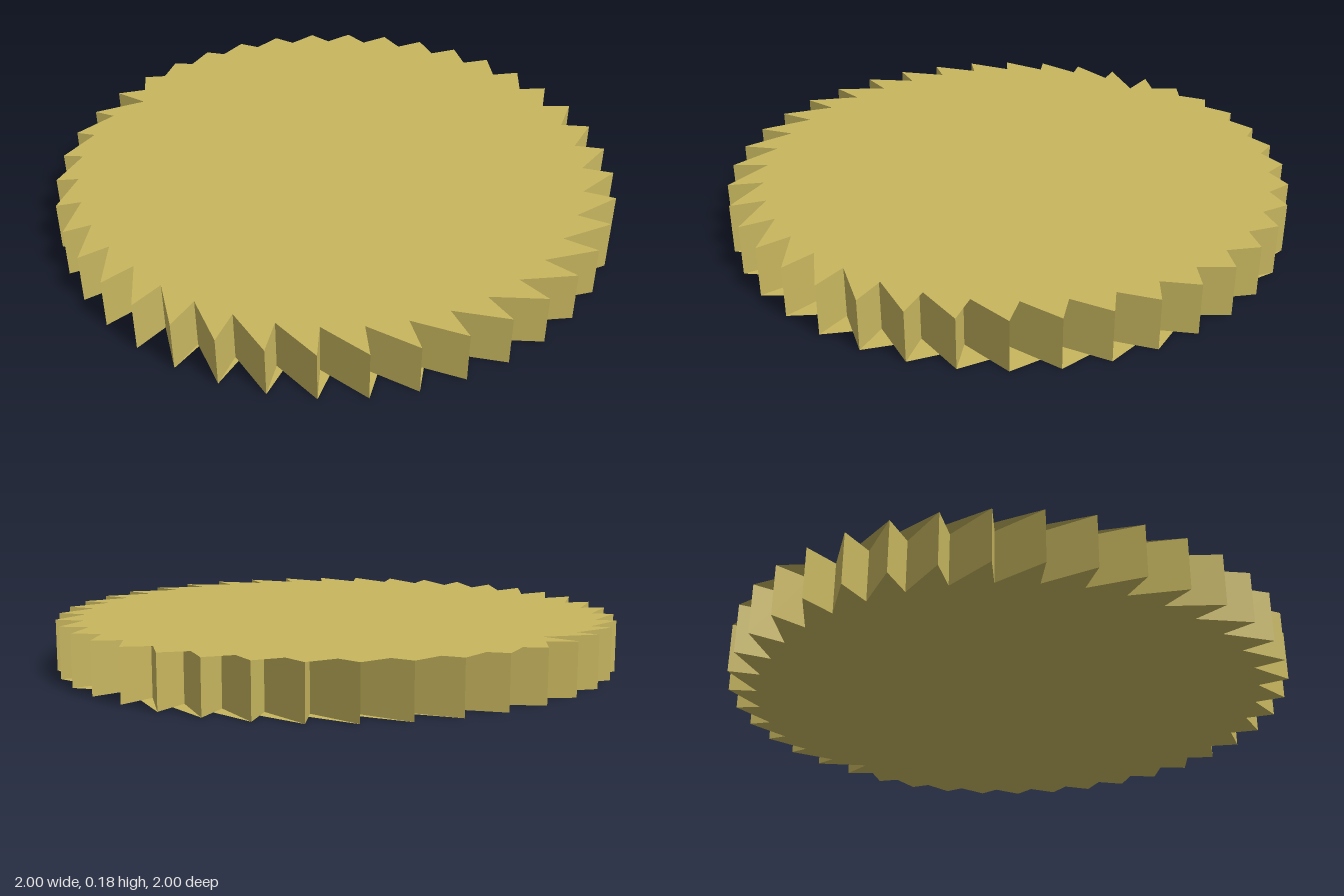
import * as THREE from 'three';

const TEETH = 40, TIP = 1.003, ROOT = 0.877, HEIGHT = 0.18;

function mesh(name, positions, material) {
  const geometry = new THREE.BufferGeometry();
  geometry.setAttribute('position', new THREE.Float32BufferAttribute(positions, 3));
  geometry.computeVertexNormals();
  const m = new THREE.Mesh(geometry, material);
  m.name = name;
  return m;
}

// Ratchet outline, anticlockwise from above: each tip drops radially to a root
function ratchetOutline() {
  const ring = [];
  for (let i = 0; i < TEETH; i++) {
    const a = (0.5 - i) * 2 * Math.PI / TEETH;
    for (const r of [TIP, ROOT]) ring.push([r * Math.sin(a), -r * Math.cos(a)]);
  }
  return ring;
}

// Flat face fanned from one root of the rim; webs partly fill the tooth gaps
function fanFace(ring, start, y, up) {
  const out = [], n = ring.length, a = ring[start];
  for (let i = 1; i < n - 1; i++) {
    let b = ring[(start + i) % n], c = ring[(start + i + 1) % n];
    const area = (b[1] - a[1]) * (c[0] - a[0]) - (b[0] - a[0]) * (c[1] - a[1]);
    if (Math.abs(area) < 1e-9) continue;
    if ((area > 0) !== up) [b, c] = [c, b];
    for (const p of [a, b, c]) out.push(p[0], y, p[1]);
  }
  return out;
}

// Upright walls around the teeth
function toothWalls(ring) {
  const out = [];
  ring.forEach((a, i) => {
    const b = ring[(i + 1) % ring.length];
    for (const [p, y] of [[a, 0], [b, 0], [b, HEIGHT], [a, 0], [b, HEIGHT], [a, HEIGHT]]) {
      out.push(p[0], y, p[1]);
    }
  });
  return out;
}

export function createModel() {
  const brass = new THREE.MeshStandardMaterial({ color: 0xc8b75f });
  brass.name = 'brass';
  brass.side = THREE.DoubleSide;
  brass.flatShading = true;

  const ring = ratchetOutline();
  const wheel = new THREE.Group();
  wheel.name = 'ratchetWheel';
  wheel.add(
    mesh('topFace', fanFace(ring, 15, HEIGHT, true), brass),
    mesh('bottomFace', fanFace(ring, 73, 0, false), brass),
    mesh('toothWalls', toothWalls(ring), brass),
  );
  return wheel;
}
